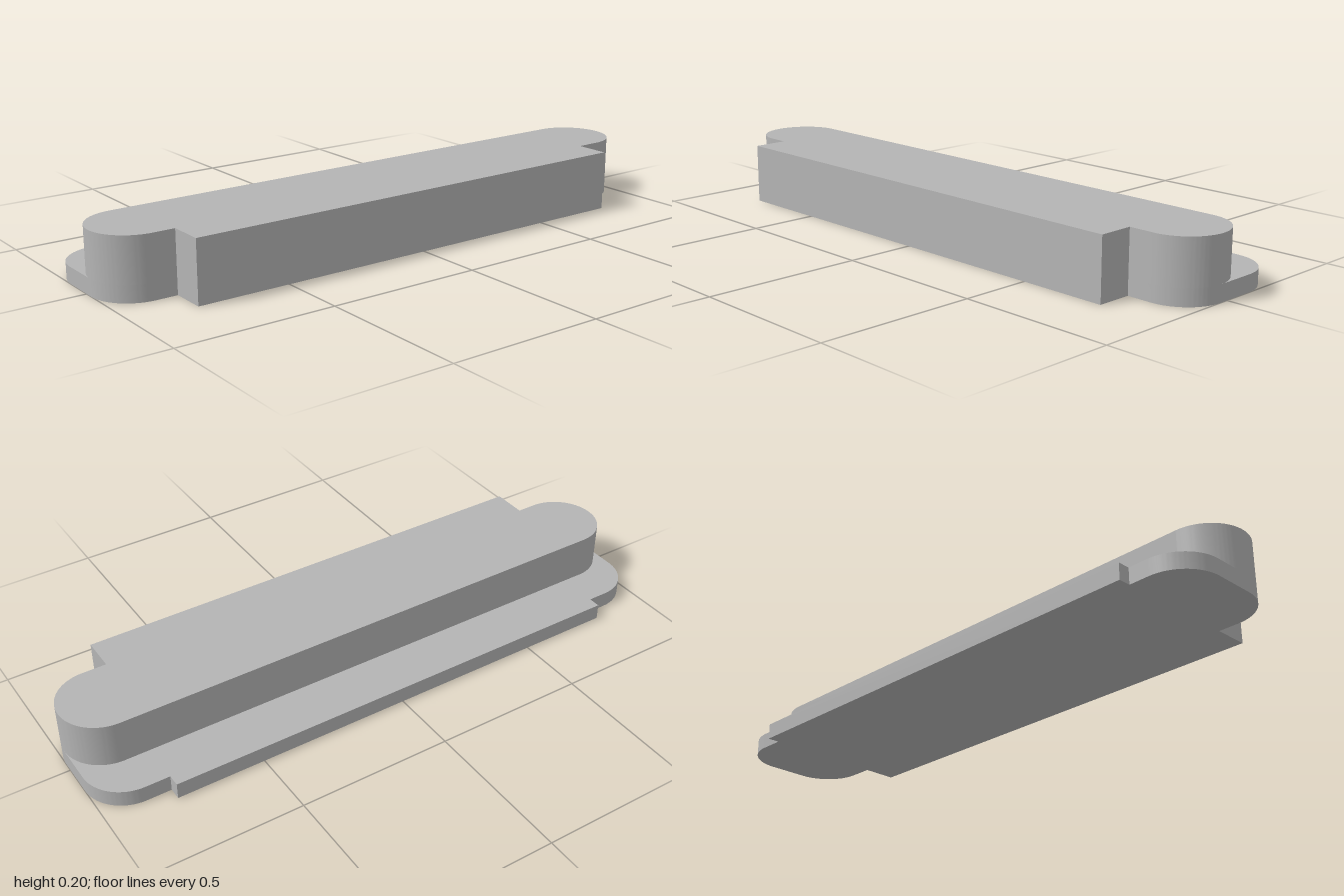
import * as THREE from 'three';
import { toCreasedNormals } from 'three/addons/utils/BufferGeometryUtils.js';

const R = 0.1333;                     // end rounding radius
const CX = 1 - R;                     // x of the rounding centres
const FRONT = -0.03, BACK = 0.1033;   // rounding centres, depth measured toward the back
const LEFT = 0.787, RIGHT = -0.8;     // ends of the square-cut bars
const EDGE = 0.277;                   // half depth
const STEP = 0.053, HEIGHT = 0.197;

// Outline seen from above; backCentre sets where the rear corners are rounded
function outline(backCentre, rearLip) {
  const s = new THREE.Shape();
  s.moveTo(RIGHT, -EDGE);
  s.lineTo(LEFT, -EDGE);
  s.lineTo(LEFT, FRONT - R);
  s.absarc(CX, FRONT, R, -Math.PI / 2, 0);
  s.absarc(CX, backCentre, R, 0, Math.PI / 2);
  if (rearLip) {
    s.lineTo(LEFT, backCentre + R);
    s.lineTo(LEFT, EDGE);
    s.lineTo(RIGHT, EDGE);
    s.lineTo(RIGHT, backCentre + R);
  }
  s.absarc(-CX, backCentre, R, Math.PI / 2, Math.PI);
  s.absarc(-CX, FRONT, R, Math.PI, Math.PI * 1.5);
  s.lineTo(RIGHT, FRONT - R);
  s.closePath();
  return s;
}

function slab(name, shape, y0, y1, material) {
  const geo = new THREE.ExtrudeGeometry(shape, { depth: y1 - y0, bevelEnabled: false, curveSegments: 16 });
  geo.rotateX(-Math.PI / 2);
  geo.translate(0, y0, 0);
  const mesh = new THREE.Mesh(toCreasedNormals(geo, 0.5), material);
  mesh.name = name;
  return mesh;
}

export function createModel() {
  const grey = new THREE.MeshStandardMaterial({ color: 0xb4b4b4 });
  grey.name = 'light grey';

  const model = new THREE.Group();
  model.name = 'steppedBar';
  // Thin flange, reaching further back
  model.add(slab('baseFlange', outline(BACK, true), 0, STEP, grey));
  // Tall body with half-round ends
  model.add(slab('upperBody', outline(FRONT, false), STEP, HEIGHT, grey));
  return model;
}
